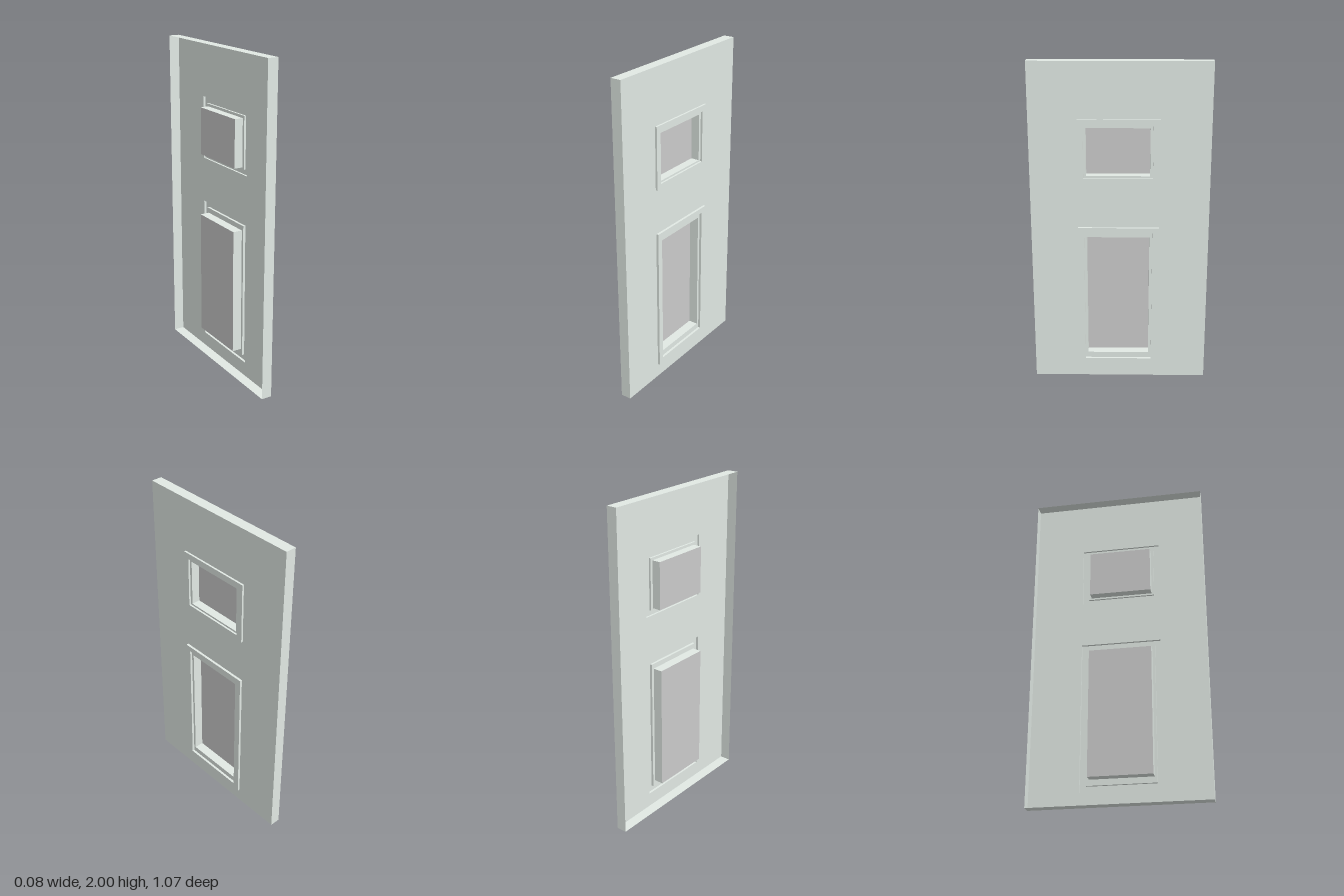
import * as THREE from 'three';

// Pressed-sheet door panel, modelled facing local +z and then turned to face +x.
const RIM = [-0.533, 0, 0.533, 2];
const BACK = -0.04, FACE = 0.025;

// Rectangles are [left, bottom, right, top].
const WINDOWS = [
  { name: 'upper', outer: [-0.25, 1.285, 0.235, 1.667], inner: [-0.215, 1.316, 0.195, 1.631],
    pane: [-0.2, 1.327, 0.178, 1.615], front: 0.037, depth: -0.028 },
  { name: 'lower', outer: [-0.25, 0.09, 0.235, 1.006], inner: [-0.215, 0.127, 0.195, 0.973],
    pane: [-0.2, 0.163, 0.178, 0.942], front: 0.04, depth: -0.034 },
];

const corners = ([l, b, r, t]) => [[l, b], [r, b], [r, t], [l, t]];

// Skin a series of rectangular loops, each [rectangle, z], with flat quads.
function skinLoops(loops) {
  const pos = [];
  for (let k = 0; k + 1 < loops.length; k++) {
    const [a, b] = [loops[k], loops[k + 1]].map(([rect, z]) => corners(rect).map(([x, y]) => [x, y, z]));
    for (let i = 0; i < 4; i++) {
      const j = (i + 1) % 4;
      pos.push(...a[i], ...a[j], ...b[j], ...a[i], ...b[j], ...b[i]);
    }
  }
  const geo = new THREE.BufferGeometry();
  geo.setAttribute('position', new THREE.Float32BufferAttribute(pos, 3));
  geo.computeVertexNormals();
  return geo;
}

export function createModel() {
  const doorMat = new THREE.MeshStandardMaterial({ color: 0xe1e9e4, side: THREE.DoubleSide });
  const paneMat = new THREE.MeshStandardMaterial({ color: 0xcccccc, side: THREE.DoubleSide });
  const door = new THREE.Group();
  door.name = 'door';
  const add = (name, geo, mat) => {
    const mesh = new THREE.Mesh(geo, mat);
    mesh.name = name;
    door.add(mesh);
    return mesh;
  };
  const toPoints = rect => corners(rect).map(([x, y]) => new THREE.Vector2(x, y));

  // Front sheet with two openings
  const sheet = new THREE.Shape(toPoints(RIM));
  for (const w of WINDOWS) sheet.holes.push(new THREE.Path(toPoints(w.outer).reverse()));
  add('frontSheet', new THREE.ShapeGeometry(sheet).translate(0, 0, FACE), doorMat);

  // Folded edge around the sheet, open at the back
  add('foldedRim', skinLoops([[RIM, BACK], [RIM, FACE]]), doorMat);

  for (const w of WINDOWS) {
    // Raised trim, inner ledge and the walls of the recess
    add(w.name + 'Trim', skinLoops([
      [w.outer, FACE], [w.outer, w.front], [w.inner, w.front],
      [w.inner, FACE], [w.pane, FACE], [w.pane, w.depth],
    ]), doorMat);

    // Recessed pane
    const pane = new THREE.ShapeGeometry(new THREE.Shape(toPoints(w.pane)));
    add(w.name + 'Pane', pane.translate(0, 0, w.depth), paneMat);
  }

  door.rotation.y = Math.PI / 2;
  const model = new THREE.Group();
  model.name = 'doorPanel';
  model.add(door);
  return model;
}
